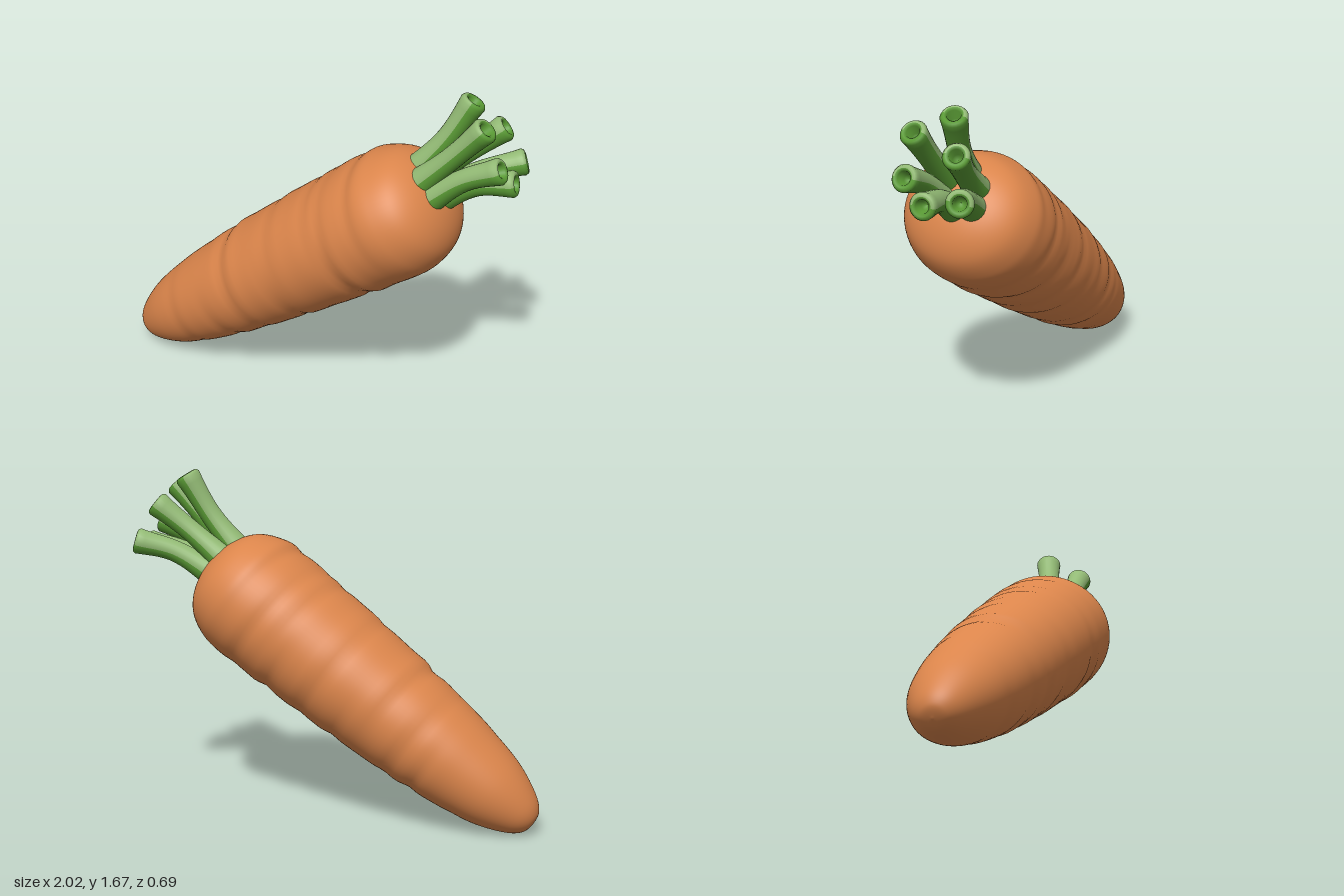
import * as THREE from 'three';
import { mergeVertices } from 'three/addons/utils/BufferGeometryUtils.js';

const orange = new THREE.MeshStandardMaterial({ color: 0xdb854b });
orange.name = 'carrot orange';
const lightGreen = new THREE.MeshStandardMaterial({ color: 0x93bb75 });
lightGreen.name = 'light green';
const darkGreen = new THREE.MeshStandardMaterial({ color: 0x5a9b35 });
darkGreen.name = 'dark green';

const TILT = THREE.MathUtils.degToRad(55);
const axis = new THREE.Vector3(Math.sin(TILT), Math.cos(TILT), 0);
const upper = new THREE.Vector3(-Math.cos(TILT), Math.sin(TILT), 0);

// Root: a lathed body with shallow partial creases pressed into it
function makeRoot() {
  const profile = [
    [0, -0.782], [0.06, -0.768], [0.117, -0.7], [0.18, -0.55], [0.222, -0.35], [0.243, -0.2],
    [0.268, 0.05], [0.285, 0.28], [0.3, 0.55], [0.309, 0.78], [0.313, 0.95], [0.298, 1.04],
    [0.258, 1.125], [0.19, 1.185], [0.1, 1.222], [0, 1.235],
  ].map(([r, t]) => new THREE.Vector2(r, t));
  const points = new THREE.SplineCurve(profile).getPoints(110);
  points.forEach(p => { p.x = Math.max(p.x, 0); });
  points[0].x = points[points.length - 1].x = 0;
  let geo = new THREE.LatheGeometry(points, 64);
  geo.deleteAttribute('uv');
  geo.deleteAttribute('normal');
  geo = mergeVertices(geo, 1e-4);

  // Creases: position along the axis, facing angle, depth (angle PI is the upper side)
  const creases = [
    [0.05, Math.PI, 0.035], [0.65, Math.PI, 0.025], [0.92, 2.9, 0.025], [0.36, 2.2, 0.02],
    [-0.2, 0, 0.035], [0.25, 0.2, 0.03], [0.64, -0.1, 0.035], [-0.42, 1, 0.02],
    [0.02, 1.5, 0.025], [0.7, 1.6, 0.025], [0.4, -1.5, 0.025], [0.8, -1.7, 0.02], [-0.1, -1.6, 0.025],
  ];
  const pos = geo.attributes.position;
  for (let i = 0; i < pos.count; i++) {
    const x = pos.getX(i), t = pos.getY(i), z = pos.getZ(i);
    const a = Math.atan2(z, x);
    let k = 1;
    for (const [t0, a0, depth] of creases) {
      const facing = Math.max(0, 0.35 + 0.65 * Math.cos(a - a0));
      const u = (t - t0 - 0.03 * Math.sin(a - a0)) / 0.035;
      k += depth * facing * (0.45 * Math.exp(-((u - 1.6) ** 2) / 2) - Math.exp(-u * u));
    }
    pos.setXYZ(i, x * k, t, z * k * 1.1);
  }
  geo.computeVertexNormals();
  const root = new THREE.Mesh(geo, orange);
  root.name = 'root';
  root.rotation.z = -TILT;
  root.position.copy(upper).multiplyScalar(0.625);
  return root;
}

// Stem: a swept tube with a hollow end, light on its upper half and dark below
function makeStem(base, mid, tip) {
  const b = new THREE.Vector3(...base).addScaledVector(axis, -0.07);
  const curve = new THREE.CatmullRomCurve3([b, new THREE.Vector3(...mid), new THREE.Vector3(...tip)]);
  const N = 24, steps = 14;
  // Rings: place on the curve, radius, offset past the place
  const rings = [];
  for (let i = 0; i <= steps; i++) {
    const s = i / steps;
    rings.push([s, 0.074 - 0.075 * s + 0.064 * s * s, 0]);
  }
  const outer = rings.length;
  rings.push([1, 0.055, 0.013], [1, 0.043, 0.016], [1, 0.031, 0.008], [1, 0.024, -0.04], [1, 0.001, -0.05]);

  const verts = [], light = [], dark = [];
  rings.forEach(([s, r, offset], i) => {
    const T = curve.getTangentAt(s);
    const U = upper.clone().addScaledVector(T, -upper.dot(T)).normalize();
    const V = T.clone().cross(U);
    const c = curve.getPointAt(s).addScaledVector(T, offset);
    for (let j = 0; j < N; j++) {
      const a = (j / N) * Math.PI * 2;
      const p = c.clone().addScaledVector(U, r * Math.cos(a)).addScaledVector(V, r * Math.sin(a));
      verts.push(p.x, p.y, p.z);
      if (i === rings.length - 1) continue;
      const j2 = (j + 1) % N;
      const p0 = i * N + j, p1 = i * N + j2, p2 = p1 + N, p3 = p0 + N;
      const isLight = i <= outer && Math.cos(((j + 0.5) / N) * Math.PI * 2) > 0;
      (isLight ? light : dark).push(p0, p1, p2, p0, p2, p3);
    }
  });
  const geo = new THREE.BufferGeometry();
  geo.setAttribute('position', new THREE.Float32BufferAttribute(verts, 3));
  geo.setIndex([...light, ...dark]);
  geo.addGroup(0, light.length, 0);
  geo.addGroup(light.length, dark.length, 1);
  geo.computeVertexNormals();
  return new THREE.Mesh(geo, [lightGreen, darkGreen]);
}

export function createModel() {
  const model = new THREE.Group();
  model.name = 'carrot';
  model.add(makeRoot());

  // Six cut stems fanning out of the crown: base, middle, tip
  const stems = new THREE.Group();
  stems.name = 'stems';
  [
    [[0.55, 1.31, -0.01], [0.64, 1.46, -0.04], [0.745, 1.645, -0.075]],
    [[0.59, 1.28, 0.06], [0.71, 1.42, 0.06], [0.86, 1.585, 0.06]],
    [[0.59, 1.27, -0.08], [0.72, 1.39, -0.11], [0.87, 1.515, -0.155]],
    [[0.65, 1.22, 0.065], [0.78, 1.33, 0.065], [0.94, 1.405, 0.06]],
    [[0.65, 1.21, -0.085], [0.79, 1.29, -0.145], [0.95, 1.34, -0.215]],
    [[0.67, 1.2, -0.01], [0.8, 1.27, -0.025], [0.97, 1.305, -0.045]],
  ].forEach(([base, mid, tip], i) => {
    const stem = makeStem(base, mid, tip);
    stem.name = `stem${i + 1}`;
    stems.add(stem);
  });
  model.add(stems);
  return model;
}
